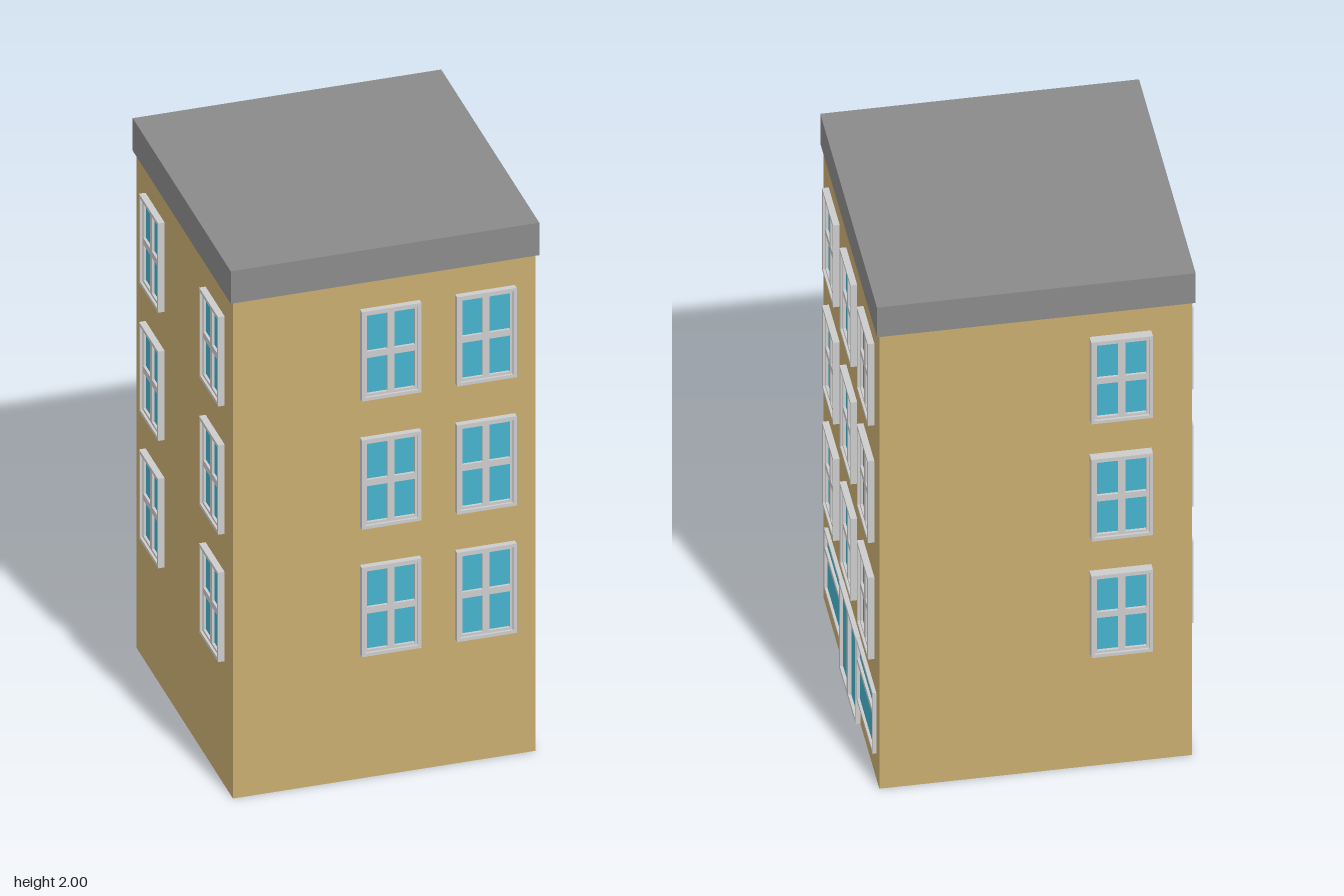
import * as THREE from 'three';

const mat = (name, color) => {
  const m = new THREE.MeshStandardMaterial({ color });
  m.name = name;
  return m;
};

export function createModel() {
  const wall = mat('ochre wall', 0xc8ac6f);
  const roofGrey = mat('roof grey', 0x8a8a8a);
  const frameGrey = mat('frame light grey', 0xcccccc);
  const glassBlue = mat('glass blue', 0x45b2cc);

  const model = new THREE.Group();
  model.name = 'building';

  // Box given by its limits on each axis
  function block(parent, name, material, x0, x1, y0, y1, z0, z1) {
    const mesh = new THREE.Mesh(new THREE.BoxGeometry(x1 - x0, y1 - y0, z1 - z0), material);
    mesh.position.set((x0 + x1) / 2, (y0 + y1) / 2, (z0 + z1) / 2);
    mesh.name = name;
    parent.add(mesh);
  }

  // Flat frame with rectangular openings; rectangles are [x0, x1, y0, y1]
  const corners = ([x0, x1, y0, y1]) => [[x0, y0], [x1, y0], [x1, y1], [x0, y1]].map(p => new THREE.Vector2(...p));
  function frame(parent, name, outer, holes, depth) {
    const shape = new THREE.Shape(corners(outer));
    holes.forEach(h => shape.holes.push(new THREE.Path(corners(h).reverse())));
    const mesh = new THREE.Mesh(new THREE.ExtrudeGeometry(shape, { depth, bevelEnabled: false }), frameGrey);
    mesh.name = name;
    parent.add(mesh);
  }

  // Body and roof
  block(model, 'walls', wall, -0.522, 0.521, 0, 1.89, -0.517, 0.528);
  block(model, 'roof', roofGrey, -0.532, 0.531, 1.877, 2, -0.528, 0.535);

  // Each wall group has local x along the wall and local z pointing outwards
  function wallGroup(name, x, z, turn) {
    const g = new THREE.Group();
    g.name = name;
    g.position.set(x, 0, z);
    g.rotation.y = turn;
    model.add(g);
    return g;
  }
  const front = wallGroup('frontWindows', 0, 0.528, 0);
  const right = wallGroup('streetSide', 0.521, 0, Math.PI / 2);
  const left = wallGroup('plainSideWindows', -0.522, 0, -Math.PI / 2);
  const back = wallGroup('backWindows', 0, -0.517, Math.PI);

  // Four-pane window: raised rim, lower sash with a cross, glass behind
  function addWindow(parent, x, y, depth) {
    const g = new THREE.Group();
    g.name = 'window';
    g.position.set(x, y, 0);
    const w = 0.103, h = 0.169, rim = 0.012, edge = 0.021, bar = 0.012;
    const a = w - rim, b = h - rim, c = w - edge, d = h - edge;
    frame(g, 'windowRim', [-w, w, -h, h], [[-a, a, -b, b]], depth);
    frame(g, 'windowSash', [-a, a, -b, b], [
      [-c, -bar, -d, -bar], [bar, c, -d, -bar],
      [-c, -bar, bar, d], [bar, c, bar, d],
    ], depth - 0.008);
    block(g, 'windowGlass', glassBlue, -a, a, -b, b, 0, depth - 0.017);
    parent.add(g);
  }

  const floors = [0.639, 1.121, 1.606];
  const columns = [
    [front, [0.018, 0.346], 0.021, 0],
    [right, [-0.33, -0.002, 0.32], 0.022, -0.004],
    [left, [-0.317, 0.334], 0.0225, 0],
    [back, [0.283], 0.032, 0],
  ];
  for (const [parent, xs, depth, shift] of columns)
    for (const x of xs)
      for (const y of floors) addWindow(parent, x, y + shift, depth);

  // Shop windows on either side of the door, with a transom bar
  for (const [x0, x1, name] of [[-0.447, -0.152, 'shopWindowA'], [0.162, 0.46, 'shopWindowB']]) {
    const g = new THREE.Group();
    g.name = name;
    frame(g, 'shopFrame', [x0, x1, 0.103, 0.354], [
      [x0 + 0.012, x1 - 0.007, 0.115, 0.264],
      [x0 + 0.012, x1 - 0.007, 0.283, 0.342],
    ], 0.013);
    block(g, 'shopGlass', glassBlue, x0 + 0.004, x1 - 0.004, 0.108, 0.349, 0, 0.004);
    right.add(g);
  }

  // Double door
  const door = new THREE.Group();
  door.name = 'door';
  frame(door, 'doorFrame', [-0.15, 0.162, 0.001, 0.358],
    [[-0.136, -0.008, 0.016, 0.344], [0.02, 0.149, 0.016, 0.344]], 0.016);
  block(door, 'doorGlass', glassBlue, -0.145, 0.157, 0.005, 0.353, 0, 0.005);
  right.add(door);

  return model;
}
